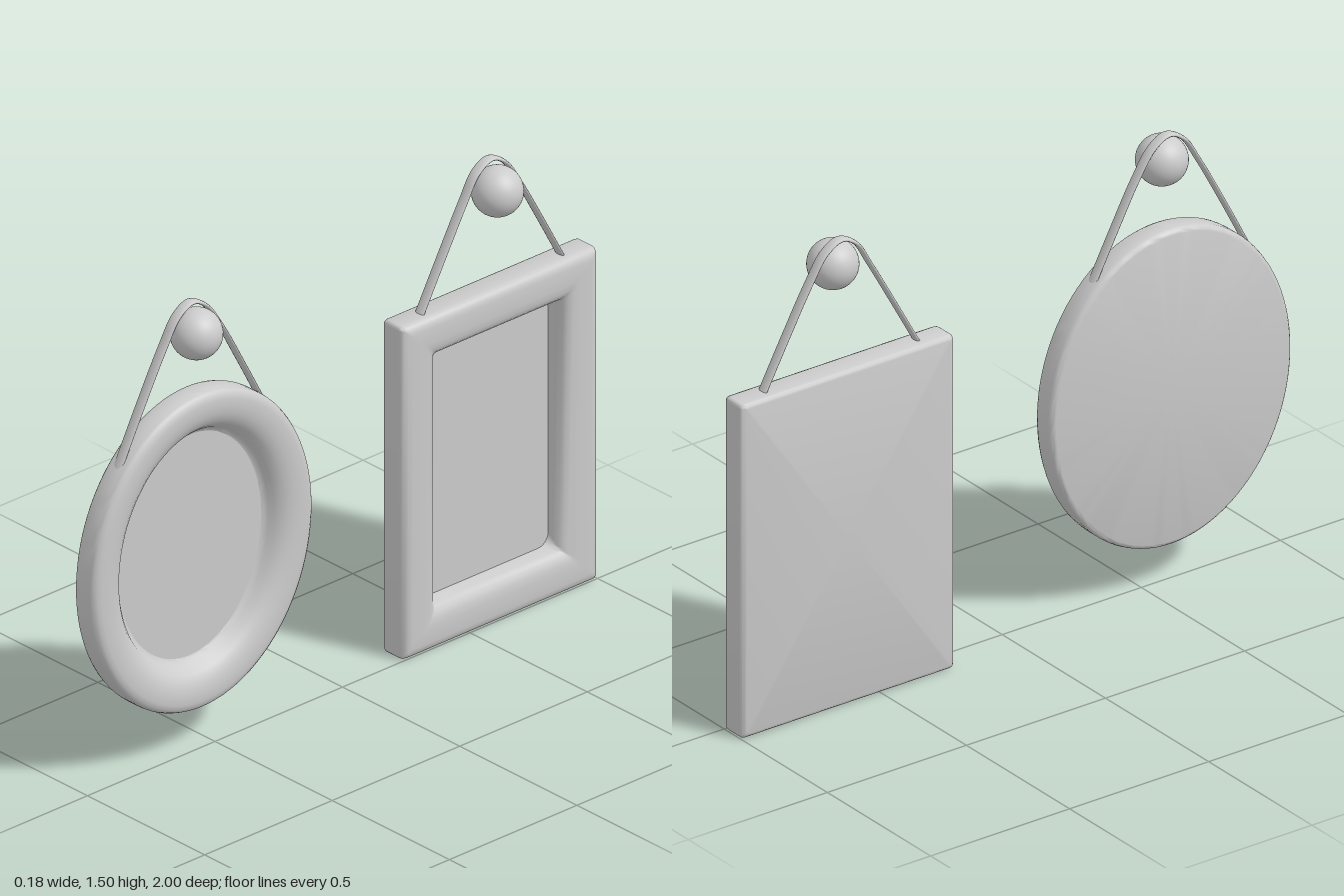
import * as THREE from 'three';
import { toCreasedNormals } from 'three/addons/utils/BufferGeometryUtils.js';

const grey = new THREE.MeshStandardMaterial({ color: 0xcccccc });

// Outlines in the z-y plane, counter-clockwise as seen from +x
function ovalOutline(hz, hy) {
  const pts = [];
  for (let i = 0; i < 96; i++) {
    const t = (i / 96) * Math.PI * 2;
    pts.push([-hz * Math.cos(t), hy * Math.sin(t)]);
  }
  return pts;
}
function rectOutline(hz, hy, r = 0.012) {
  r = Math.min(r, hz, hy);
  const pts = [];
  [[1, 1], [-1, 1], [-1, -1], [1, -1]].forEach(([sx, sy], corner) => {
    for (let i = 0; i <= 6; i++) {
      const t = (corner + i / 6) * Math.PI / 2;
      pts.push([-(sx * (hz - r) + r * Math.cos(t)), sy * (hy - r) + r * Math.sin(t)]);
    }
  });
  return pts;
}

// Skin over rings of { x, pts }, running from the inside of the front round to the back
function loft(rings, crease) {
  const pos = [], index = [], n = rings[0].pts.length;
  rings.forEach(({ x, pts }) => pts.forEach(([z, y]) => pos.push(x, y, z)));
  for (let k = 0; k < rings.length - 1; k++) {
    for (let i = 0; i < n; i++) {
      const j = (i + 1) % n;
      const a = k * n + i, b = k * n + j, c = a + n, d = b + n;
      index.push(a, c, d, a, d, b);
    }
  }
  const g = new THREE.BufferGeometry();
  g.setAttribute('position', new THREE.Float32BufferAttribute(pos, 3));
  g.setIndex(index);
  return toCreasedNormals(g, crease);
}

function add(group, name, geometry) {
  const mesh = new THREE.Mesh(geometry, grey);
  mesh.name = name;
  group.add(mesh);
}

function hangingFrame(o) {
  const group = new THREE.Group();
  group.name = o.name;

  // Moulding: profile of [inset from the outer edge, x, corner radius], closed by a flat back
  const rings = o.profile.map(([d, x, r]) => ({ x, pts: o.outline(o.hz - d, o.hy - d, r) }));
  rings.push({ x: o.back, pts: o.outline(0, 0) });
  const moulding = loft(rings, 0.75);
  moulding.translate(0, o.y, o.z);
  add(group, 'moulding', moulding);

  // Recessed panel inside the moulding
  const [d, x, r] = o.profile[0];
  const panel = loft([
    { x, pts: o.outline(0, 0) },
    { x, pts: o.outline(o.hz - d, o.hy - d, r) },
  ], 0.75);
  panel.translate(0, o.y, o.z);
  add(group, 'panel', panel);

  // Flat strap looped over the knob
  const path = new THREE.CatmullRomCurve3(o.strap.map(([z, y]) => new THREE.Vector3(0, y, z)));
  const strap = new THREE.TubeGeometry(path, 80, 0.0065, 12);
  strap.scale(2.8, 1, 1);
  strap.translate(o.strapX, 0, 0);
  add(group, 'strap', strap);

  // Round wall knob
  const knob = new THREE.SphereGeometry(o.knobR, 40, 28);
  knob.translate(...o.knob);
  add(group, 'knob', knob);
  return group;
}

export function createModel() {
  const model = new THREE.Group();
  model.name = 'hangingFrames';

  model.add(hangingFrame({
    name: 'ovalFrame', outline: ovalOutline,
    y: 0.655, z: 0.567, hz: 0.433, hy: 0.511, back: -0.06,
    profile: [
      [0.152, -0.035], [0.145, -0.032], [0.137, -0.022], [0.128, -0.006], [0.115, 0.009],
      [0.098, 0.02], [0.078, 0.027], [0.055, 0.03], [0.03, 0.03], [0.016, 0.027],
      [0.006, 0.02], [0.001, 0.01], [0, 0], [0, -0.042], [0.003, -0.052], [0.009, -0.058], [0.016, -0.06],
    ],
    strap: [
      [0.866, 1.015], [0.775, 1.19], [0.69, 1.345], [0.635, 1.43], [0.58, 1.458],
      [0.525, 1.43], [0.465, 1.345], [0.385, 1.2], [0.3, 1.04],
    ],
    strapX: -0.018, knob: [0.008, 1.365, 0.58], knobR: 0.078,
  }));

  model.add(hangingFrame({
    name: 'rectangularFrame', outline: rectOutline,
    y: 0.545, z: -0.618, hz: 0.382, hy: 0.541, back: -0.09,
    profile: [
      [0.138, -0.06, 0.04], [0.136, -0.045, 0.025], [0.133, -0.025], [0.127, -0.009],
      [0.116, 0.002], [0.1, 0.008], [0.08, 0.01], [0.03, 0.01], [0.016, 0.007],
      [0.006, 0], [0.001, -0.01], [0, -0.02], [0, -0.075], [0.003, -0.083], [0.008, -0.088], [0.015, -0.09],
    ],
    strap: [
      [-0.328, 1.06], [-0.425, 1.235], [-0.51, 1.385], [-0.56, 1.465], [-0.615, 1.493],
      [-0.67, 1.465], [-0.725, 1.385], [-0.81, 1.235], [-0.905, 1.06],
    ],
    strapX: -0.042, knob: [-0.008, 1.4, -0.615], knobR: 0.077,
  }));
  return model;
}
